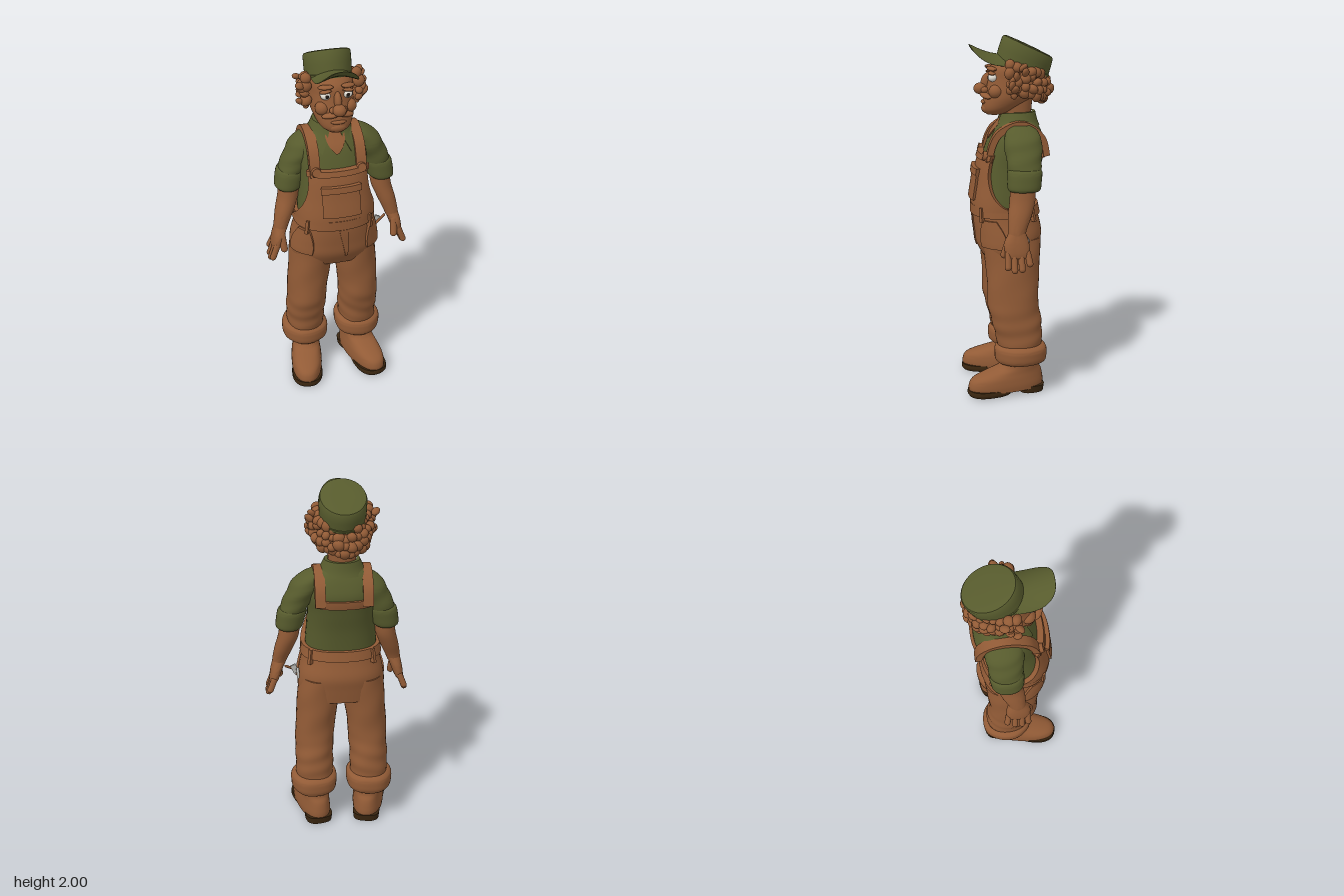
import * as THREE from 'three';
import { toCreasedNormals } from 'three/addons/utils/BufferGeometryUtils.js';

const mat = (name, color) => {
  const m = new THREE.MeshStandardMaterial({ color });
  m.name = name;
  return m;
};
const H = Math.PI / 2;

// Grid of points -> smooth surface with creased edges
function grid(nu, nv, point, closed) {
  const pos = [], idx = [], w = nu + 1;
  for (let i = 0; i <= nv; i++)
    for (let j = 0; j <= nu; j++) pos.push(...point(j, i));
  for (let i = 0; i < nv; i++)
    for (let j = 0; j < nu; j++) {
      const a = i * w + j, b = i * w + (closed ? (j + 1) % nu : j + 1), c = a + w, d = b + w;
      idx.push(a, c, b, b, c, d);
    }
  const g = new THREE.BufferGeometry();
  g.setAttribute('position', new THREE.Float32BufferAttribute(pos, 3));
  g.setIndex(idx);
  return toCreasedNormals(g, 0.9);
}

// Smooth body through rings [y, cx, cz, rx, rz]; returns point(y, angle, offset)
function surface(rings, n = 2.3, ripple = () => 0) {
  const slope = (i, k) => {
    const a = rings[Math.max(i - 1, 0)], b = rings[Math.min(i + 1, rings.length - 1)];
    return (b[k] - a[k]) / (b[0] - a[0]);
  };
  const at = (y, th, off = 0) => {
    let i = 0;
    while (i < rings.length - 2 && y > rings[i + 1][0]) i++;
    const a = rings[i], b = rings[i + 1], h = b[0] - a[0], t = (y - a[0]) / h, t2 = t * t, t3 = t2 * t;
    const [cx, cz, rx, rz] = [1, 2, 3, 4].map(k => a[k] * (2 * t3 - 3 * t2 + 1) + b[k] * (3 * t2 - 2 * t3)
      + h * (slope(i, k) * (t3 - 2 * t2 + t) + slope(i + 1, k) * (t3 - t2)));
    const c = Math.cos(th), s = Math.sin(th), p = v => Math.sign(v) * Math.abs(v) ** (2 / n), r = 1 + ripple(y, th);
    return [cx + p(c) * (rx * r + off), y, cz + p(s) * (rz * r + off)];
  };
  at.range = [rings[0], rings[rings.length - 1]];
  return at;
}

// Closed, capped solid from a surface
function solid(at, nv = 24, nu = 32) {
  const [lo, hi] = at.range;
  return grid(nu, nv + 2, (j, i) => {
    if (i === 0) return [lo[1], lo[0], lo[2]];
    if (i === nv + 2) return [hi[1], hi[0], hi[2]];
    return at(lo[0] + (hi[0] - lo[0]) * (i - 1) / nv, j / nu * 2 * Math.PI);
  }, true);
}

// Raised panel lying on a surface; map(u, v) -> [y, angle], with border walls
function panel(at, map, off, nu = 20, nv = 10) {
  return grid(nu + 2, nv + 2, (j, i) => {
    const edge = j === 0 || i === 0 || j === nu + 2 || i === nv + 2;
    const cl = (k, n) => Math.min(Math.max(k - 1, 0), n) / n;
    return at(...map(cl(j, nu), cl(i, nv)), edge ? -0.01 : off);
  }, false);
}

export function createModel() {
  const model = new THREE.Group();
  const brown = mat('warm brown', 0x925b36), green = mat('olive green', 0x575b2d);
  const dark = mat('dark sole brown', 0x3a2610), white = mat('eye white', 0xe4e0d6);
  const black = mat('pupil dark', 0x1c1612), grey = mat('tool grey', 0xb4b4b0);
  const body = new THREE.Group();
  body.name = 'body';
  body.position.x = -0.02;
  model.add(body);

  const add = (name, geo, m, parent = body) => {
    const mesh = new THREE.Mesh(geo, m);
    mesh.name = name;
    parent.add(mesh);
    return mesh;
  };
  const unitBall = new THREE.SphereGeometry(1, 16, 12);
  const ball = (name, m, p, s, rot, parent) => {
    const b = add(name, unitBall, m, parent);
    b.position.set(...p);
    b.scale.set(...s);
    b.rotation.set(...rot);
  };
  const limb = (name, m, a, b, r, parent = body) => {
    const A = new THREE.Vector3(...a), B = new THREE.Vector3(...b), d = B.clone().sub(A);
    const c = add(name, new THREE.CapsuleGeometry(r, d.length(), 5, 12), m, parent);
    c.position.copy(A).add(B).multiplyScalar(0.5);
    c.quaternion.setFromUnitVectors(new THREE.Vector3(0, 1, 0), d.normalize());
  };

  // Shirt and trousers
  const shirt = surface([[1.02, 0, .02, .2, .16], [1.1, 0, .015, .197, .163], [1.2, 0, 0, .19, .163],
    [1.3, 0, -.02, .187, .168], [1.4, 0, -.045, .195, .163], [1.47, 0, -.05, .185, .138],
    [1.52, 0, -.055, .14, .108], [1.56, 0, -.055, .085, .08]], 2.4);
  add('shirt', solid(shirt, 30, 48), green);
  const hips = surface([[.77, 0, -.015, .235, .15], [.85, 0, 0, .245, .178], [.92, 0, 0, .238, .188],
    [1.0, 0, .012, .22, .184], [1.08, 0, .02, .208, .176]], 2.3);
  add('hips', solid(hips, 20, 48), brown);
  add('waistband', panel(hips, (u, v) => [1.025 + .055 * v, u * 2 * Math.PI], .012, 60, 4), brown);
  add('fly', panel(hips, (u, v) => [.84 + .18 * v, H - .12 + .16 * u * (.3 + .7 * v)], .006), brown);
  for (const a of [.75, 2.39, 3.9, 5.52])
    add('beltLoop', panel(hips, (u, v) => [1.0 + .08 * v, a + .09 * u], .024, 4, 6), brown);

  // Bib with pocket
  add('bib', panel(shirt, (u, v) => [1.06 + .3 * v, H + (2 * u - 1) * (.82 + .85 * (1 - v) ** 3)], .026, 32, 20), brown);
  add('bibHem', panel(shirt, (u, v) => [1.335 + .03 * v, H + (2 * u - 1) * .82], .034, 32, 3), brown);
  add('bibPocket', panel(shirt, (u, v) => [1.11 + .16 * v, H + (2 * u - 1) * .4], .04), brown);
  add('bibPocketFlap', panel(shirt, (u, v) => [1.25 + .035 * v, H + (2 * u - 1) * .43], .048), brown);

  // Collar, open neck and neck
  const collar = surface([[1.4, 0, -.045, .2, .17], [1.47, 0, -.05, .165, .14], [1.53, 0, -.055, .115, .105],
    [1.59, 0, -.06, .085, .085]], 2.1);
  add('collar', panel(collar, (u, v) => {
    const front = Math.abs(2 * u - 1) ** 6, gap = .2 + .22 * (1 - v);
    return [(1.51 - .07 * front) * (1 - v) + (1.585 - .015 * front) * v, H + gap + u * 2 * (Math.PI - gap)];
  }, .008, 60, 8), green);
  add('openNeck', panel(shirt, (u, v) => [1.44 + .115 * v, H + (2 * u - 1) * (.02 + .4 * v)], .008), brown);
  add('neck', solid(surface([[1.48, 0, -.05, .07, .075], [1.56, 0, -.05, .074, .08], [1.68, 0, -.05, .08, .09]])), brown);

  // Straps over the shoulders, joined across the back
  const path = [[.135, 1.33], [.115, 1.42], [.075, 1.49], [0, 1.535], [-.07, 1.545], [-.14, 1.515], [-.195, 1.45], [-.215, 1.36]];
  const curve = new THREE.SplineCurve(path.map(p => new THREE.Vector2(...p)));
  const outer = curve.getPoints(30);
  const inner = outer.map((p, i) => {
    const t = curve.getTangent(i / 30);
    return new THREE.Vector2(p.x - t.y * .035, p.y + t.x * .035);
  });
  const strapShape = new THREE.Shape([...outer, ...inner.reverse()]);
  for (const s of [-1, 1]) {
    const g = new THREE.ExtrudeGeometry(strapShape, { depth: .056, bevelEnabled: false });
    g.rotateY(-H);
    g.translate(s * .128 + .028, 0, 0);
    add('strap', toCreasedNormals(g, .6), brown);
    const b = add('strapButton', new THREE.CylinderGeometry(.024, .028, .025, 16), brown);
    b.position.set(s * .125, 1.36, .138);
    b.rotation.x = H - .25;
  }
  add('backStrap', panel(shirt, (u, v) => [1.345 + .045 * v, 3 * H + (2 * u - 1) * .72], .016, 24, 4), brown);

  for (const s of [-1, 1]) {
    const flip = r => r.map(([y, x, ...q]) => [y, s * x, ...q]);
    const side = s > 0 ? 'left' : 'right';

    // Trouser legs with folds and turned-up cuffs
    const folds = (y, th) => .022 * Math.sin(y * 62 + 2 * Math.sin(th + s)) * Math.exp(-(((y - .37) / .12) ** 2))
      + .01 * Math.sin(y * 28 + 3 * th);
    add(side + 'Leg', solid(surface(flip([[.2, .155, -.05, .1, .12], [.3, .157, -.05, .106, .127], [.4, .157, -.037, .108, .137],
      [.5, .153, -.017, .11, .143], [.6, .147, -.013, .112, .142], [.7, .136, -.013, .116, .148],
      [.8, .126, -.012, .119, .155], [.9, .115, -.005, .118, .165]]), 2.2, folds), 60, 36), brown);
    add(side + 'Cuff', solid(surface(flip([[.185, .16, -.055, .108, .128], [.2, .16, -.055, .126, .142], [.24, .16, -.055, .132, .147],
      [.275, .16, -.055, .128, .143], [.292, .16, -.055, .106, .126]]), 2.2, (y, th) => .015 * Math.sin(5 * th + s)), 14, 36), brown);
    const centre = s > 0 ? .55 : Math.PI - .55;
    add(side + 'Pocket', panel(hips, (u, v) => [.86 + .15 * v, centre + (2 * u - 1) * (.12 + .3 * Math.sin(1.2 + 1.6 * v))], .012), brown);

    // Shoes, turned outwards
    const shoe = new THREE.Group();
    shoe.name = side + 'Shoe';
    shoe.position.x = s * .165;
    shoe.rotation.y = s * .2;
    body.add(shoe);
    add('shoeUpper', solid(surface([[.028, 0, .03, .088, .215], [.06, 0, .03, .09, .218], [.1, 0, .022, .086, .205],
      [.13, 0, -.01, .08, .165], [.16, 0, -.045, .078, .115], [.24, 0, -.055, .08, .1]], 2.3), 24, 40), brown, shoe);
    add('toeSeam', new THREE.TorusGeometry(.068, .007, 8, 20, Math.PI), brown, shoe).position.set(0, .07, .1);
    add('frontSole', solid(surface([[.005, 0, .125, .084, .12], [.018, 0, .125, .09, .128], [.04, 0, .125, .088, .124]], 2.4), 6), dark, shoe);
    add('heel', solid(surface([[0, 0, -.115, .074, .07], [.04, 0, -.115, .078, .076]], 2.8), 4), dark, shoe);

    // Sleeve with rolled cuff, forearm and hand
    const arm = new THREE.Group();
    arm.name = side + 'Arm';
    arm.position.x = .025;
    body.add(arm);
    add('sleeve', solid(surface(flip([[1.24, .255, -.058, .07, .085], [1.32, .237, -.06, .074, .09], [1.4, .197, -.06, .08, .1],
      [1.46, .168, -.06, .077, .1], [1.5, .135, -.06, .064, .08], [1.525, .11, -.06, .04, .05]]), 2.1,
    (y, th) => .02 * Math.sin(y * 70 + 2 * th)), 36), green, arm);
    add('sleeveCuff', solid(surface(flip([[1.2, .266, -.055, .062, .08], [1.21, .265, -.055, .072, .088], [1.25, .257, -.057, .077, .092],
      [1.3, .246, -.06, .078, .093], [1.315, .242, -.06, .068, .085]]), 2.2), 14), green, arm);
    add('forearm', solid(surface(flip([[.96, .325, -.006, .036, .046], [1.0, .315, -.012, .042, .05], [1.07, .293, -.028, .051, .063],
      [1.15, .268, -.045, .056, .069], [1.26, .255, -.05, .054, .066]]), 2.1)), brown, arm);
    add('palm', solid(surface(flip([[.855, .356, -.008, .02, .058], [.88, .35, -.008, .027, .066], [.93, .337, -.006, .033, .066],
      [.985, .32, -.01, .037, .046]]), 2.3), 14), brown, arm);
    [[-.062, -.072, .825], [-.026, -.03, .798], [.01, .01, .793], [.043, .046, .81]].forEach(([z0, z1, y]) =>
      limb('finger', brown, [s * .353, .88, z0], [s * (.385 - (y - .793) * .3), y, z1], .0175, arm));
    limb('thumb', brown, [s * .325, .945, .035], [s * .318, .865, .06], .02, arm);
  }

  // Small tool in the left hip pocket
  limb('toolHandle', brown, [.235, .9, .01], [.31, .945, -.02], .007);
  const blade = add('toolHead', new THREE.BoxGeometry(.03, .05, .014), grey);
  blade.position.set(.26, .925, -.015);
  blade.rotation.z = -.4;
  const hook = add('toolHook', new THREE.TorusGeometry(.035, .008, 8, 16, 2.4), grey);
  hook.position.set(.245, .9, -.05);
  hook.rotation.y = H;

  // Head and face
  const head = new THREE.Group();
  head.name = 'head';
  body.add(head);
  const none = [0, 0, 0];
  add('skull', solid(surface([[1.57, 0, .07, .045, .045], [1.595, 0, .05, .08, .085], [1.65, 0, .005, .108, .128], [1.7, 0, -.03, .117, .15],
    [1.76, 0, -.05, .117, .158], [1.82, 0, -.06, .117, .157], [1.87, 0, -.07, .1, .12]], 2.15), 30, 40), brown, head);
  ball('nose', brown, [0, 1.71, .147], [.036, .032, .038], none, head);
  ball('noseBridge', brown, [0, 1.75, .112], [.02, .05, .032], [-.35, 0, 0], head);
  ball('lowerLip', brown, [0, 1.637, .127], [.042, .012, .018], none, head);
  ball('chin', brown, [0, 1.603, .105], [.052, .032, .038], none, head);
  for (const s of [-1, 1]) {
    ball('nostril', brown, [s * .03, 1.705, .127], [.018, .017, .022], none, head);
    ball('moustache', brown, [s * .04, 1.676, .122], [.05, .015, .026], [0, s * .4, -s * .2], head);
    ball('cheek', brown, [s * .072, 1.7, .07], [.04, .038, .04], none, head);
    ball('eye', white, [s * .058, 1.775, .084], [.028, .024, .027], none, head);
    ball('pupil', black, [s * .056, 1.775, .109], [.01, .011, .004], [0, s * .1, 0], head);
    ball('upperLid', brown, [s * .058, 1.797, .09], [.034, .008, .022], [0, 0, -s * .15], head);
    ball('brow', brown, [s * .06, 1.822, .092], [.042, .012, .022], [0, s * .4, -s * .1], head);
    ball('ear', brown, [s * .135, 1.72, -.03], [.022, .045, .032], [0, s * .4, -s * .2], head);
    ball('earLobe', brown, [s * .138, 1.685, -.02], [.017, .02, .018], none, head);
  }

  // Curly hair around the sides and back
  let seed = 7;
  const rnd = () => (seed = (seed * 16807) % 2147483647) / 2147483647;
  for (let row = 0; row < 4; row++)
    for (let k = 0; k <= 16; k++) {
      const a = Math.PI * (-.06 + 1.12 * k / 16), back = Math.max(Math.sin(a), 0), y = 1.665 + .042 * row + .05 * (1 - back) - .012 * back;
      const r = .02 + .012 * rnd(), out = 1 + .1 * Math.sin(row * 1.1) + (rnd() - .5) * .12;
      ball('curl', brown, [Math.cos(a) * .14 * out, y + (rnd() - .5) * .02, -.03 - Math.sin(a) * .175 * out],
        [r * 1.1, r * .9, r * 1.1], [rnd() * 3, rnd() * 3, rnd() * 3], head);
    }
  for (const s of [-1, 1])
    for (let k = 0; k < 6; k++)
      ball('sideTuft', brown, [s * (.15 + .03 * rnd()), 1.72 + .023 * k, .02 - .1 * rnd()], [.03, .016, .022], [rnd(), rnd(), s * (.3 + rnd() * .5)], head);

  // Cap: crown between two tilted planes, and an upturned arched peak
  const crown = new THREE.LatheGeometry([[0, 0], [1, 0], [1.01, .12], [.98, .14], [1, .5], [1, .9], [.96, .98], [.85, 1.01], [.45, 1.03], [0, 1.03]]
    .map(p => new THREE.Vector2(...p)), 48);
  const mix = THREE.MathUtils.lerp, cp = crown.attributes.position;
  for (let i = 0; i < cp.count; i++) {
    const t = cp.getY(i), dz = cp.getZ(i) * mix(.148, .136, t);
    cp.setXYZ(i, cp.getX(i) * mix(.126, .125, t), mix(1.813, 1.937, t) + dz * mix(.31, .47, t), mix(-.078, -.115, t) + dz);
  }
  add('capCrown', toCreasedNormals(crown, .6), green, head);
  const peak = new THREE.SphereGeometry(1, 40, 24), pp = peak.attributes.position;
  for (let i = 0; i < pp.count; i++) {
    const X = pp.getX(i), Z = pp.getZ(i);
    const k = Math.hypot(X, Z) / (Math.cbrt(Math.abs(X) ** 3 + Math.abs(Z) ** 3) || 1);
    const x = X * k * .113, z = .05 + Z * k * .157;
    pp.setXYZ(i, x, 1.882 + .1 * (z - .05) + 2 * Math.max(z - .05, 0) ** 2 - 3.2 * x * x + pp.getY(i) * .014, z);
  }
  peak.computeVertexNormals();
  add('capPeak', peak, green, head);
  return model;
}
